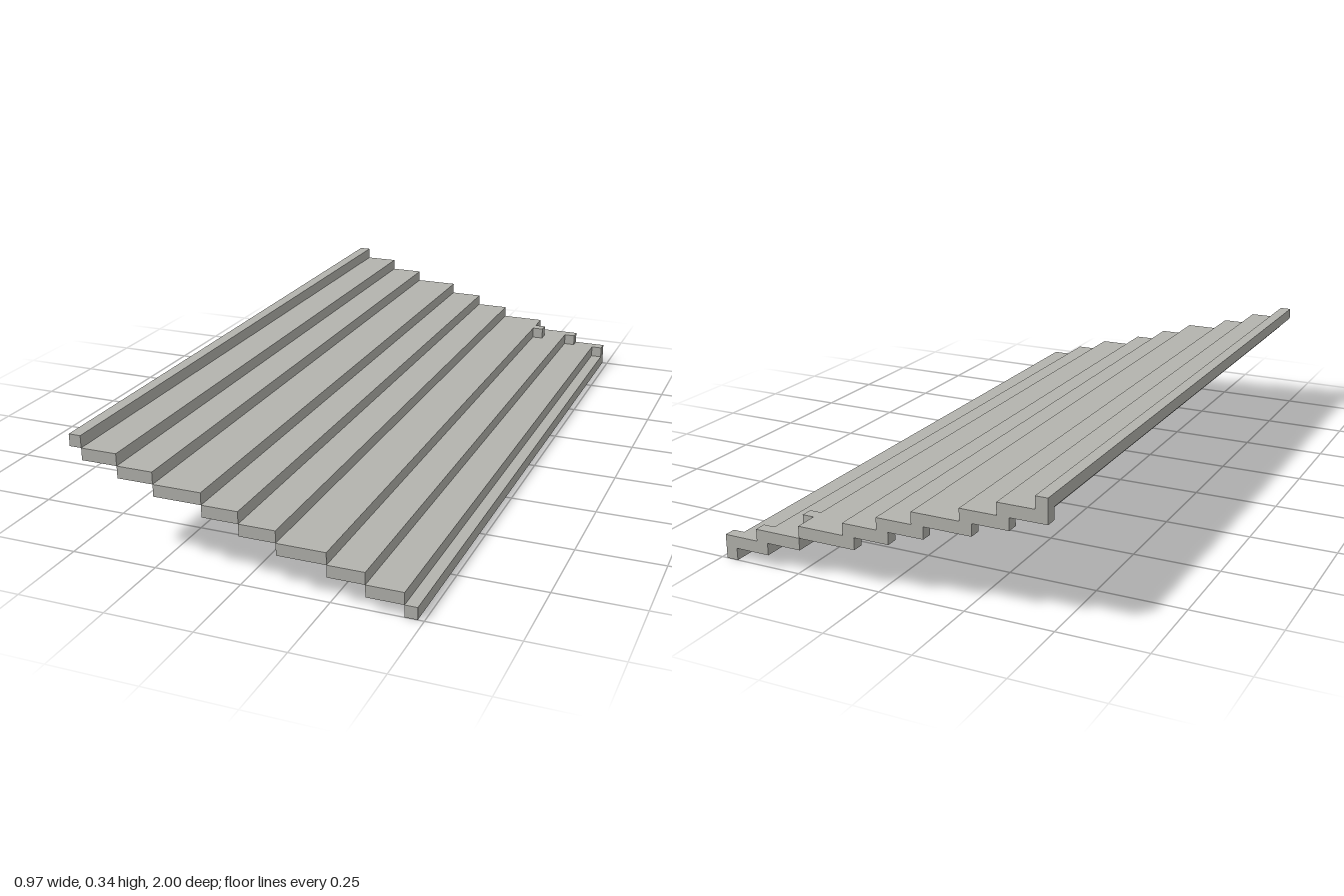
import * as THREE from 'three';

export function createModel() {
  const U = 2 / 58; // one block
  const grey = new THREE.MeshStandardMaterial({ color: 0xb4b4ae });
  grey.name = 'concrete grey';
  const model = new THREE.Group();
  model.name = 'steppedRoof';

  // Box spanning x0..x1 and z0..z1 on one block-high level, in block units
  function slab(name, level, x0, x1, z0, z1) {
    const mesh = new THREE.Mesh(new THREE.BoxGeometry((x1 - x0) * U, U, (z1 - z0) * U), grey);
    mesh.position.set(((x0 + x1) / 2) * U, (level + 0.5) * U, ((z0 + z1) / 2) * U);
    mesh.name = name;
    model.add(mesh);
  }

  // Full-length steps, descending from -x to +x
  const edges = [-14, -13, -10, -7, -3, 0, 3, 7, 10, 13, 14];
  for (let i = 0; i < 10; i++) slab('step' + (i + 1), 9 - i, edges[i], edges[i + 1], -29, 29);

  // Single blocks at the back end tucked under the upper steps
  for (let i = 1; i <= 6; i++) slab('underBlock' + i, 9 - i, edges[i] - 1, edges[i], -29, -28);

  // Single blocks standing on the lower steps near the back end
  for (let i = 6; i <= 8; i++) {
    const z = i === 6 ? -27 : -29;
    slab('topBlock' + (i - 5), 9 - i, edges[i + 1], edges[i + 1] + 1, z, z + 1);
  }
  return model;
}
